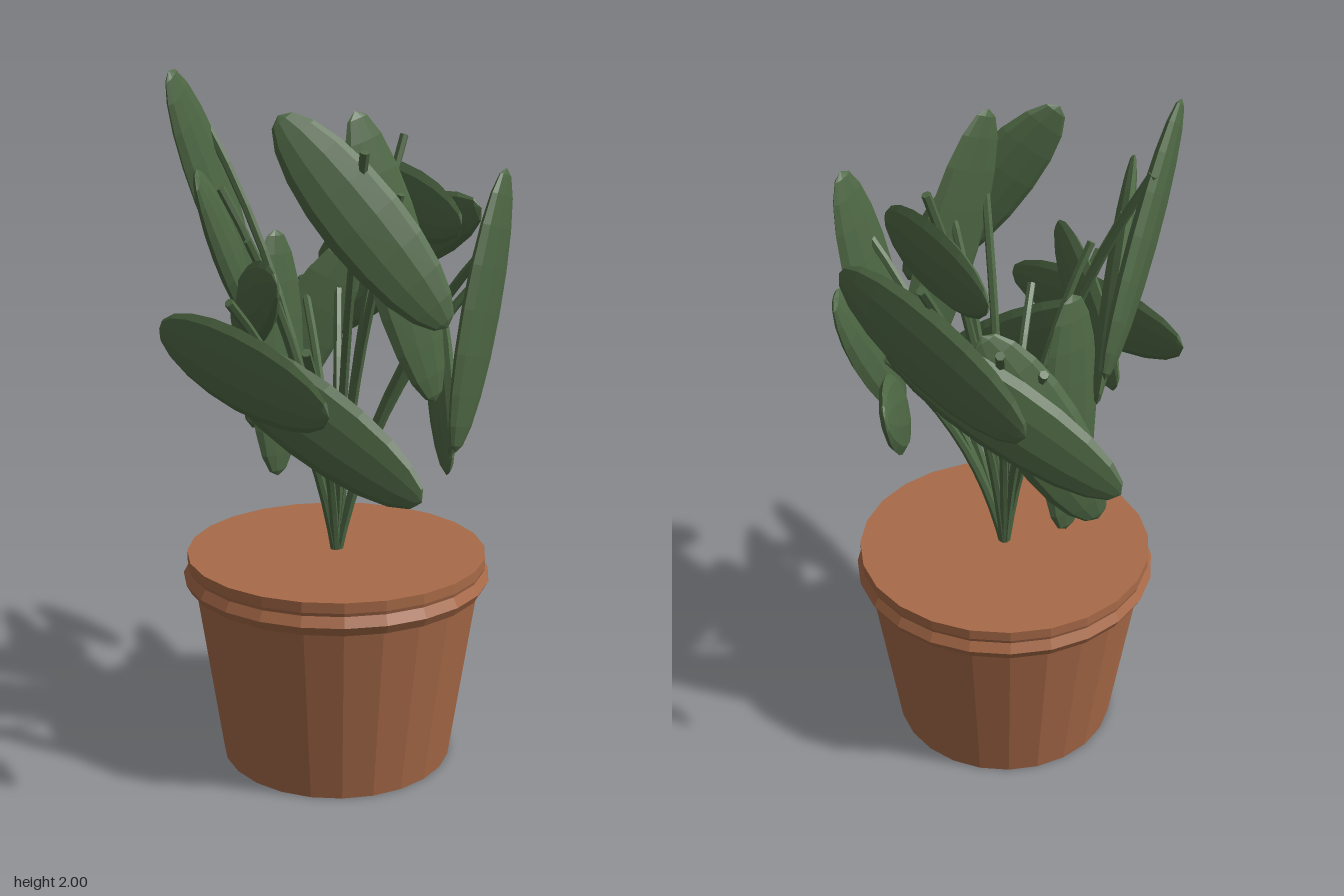
import * as THREE from 'three';

const BASE = new THREE.Vector3(-0.012, 0.6, 0.012);

// Upper end and lower end of each leaf blade, plus its half width.
const LEAVES = [
  [[0.43, 1.51, 0.03], [0.13, 1.12, -0.53], 0.11],
  [[0.41, 1.61, 0.2], [0.41, 1.39, -0.45], 0.115],
  [[0.38, 1.68, -0.30], [0.08, 1.6, 0.38], 0.105],
  [[0.53, 1.34, -0.08], [0.01, 0.94, 0.41], 0.115],
  [[0.41, 1.53, 0.23], [0.01, 0.98, 0.41], 0.11],
  [[0.17, 1.75, 0.455], [0.0, 1.0, 0.435], 0.11],
  [[-0.16, 1.9, 0.21], [0.07, 1.11, 0.31], 0.11],
  [[-0.33, 1.89, 0.1], [-0.05, 1.35, 0.44], 0.11],
  [[-0.42, 1.3, -0.1], [-0.26, 0.94, 0.53], 0.11],
  [[-0.36, 1.29, -0.35], [-0.53, 1.2, 0.46], 0.11],
  [[-0.43, 1.48, 0.19], [-0.09, 1.27, -0.33], 0.11],
  [[-0.49, 1.74, -0.04], [0.02, 1.27, -0.35], 0.11],
  [[-0.34, 2.0, -0.30], [0.03, 1.36, -0.38], 0.11],
  [[0.0, 1.55, -0.24], [0.0, 0.8, -0.24], 0.11],
  [[0.26, 1.5, -0.16], [0.03, 0.92, -0.38], 0.11],
];

// Flattened blade stretched between two ends, facing away from the stem base
function makeLeaf(top, bottom, halfWidth, material) {
  const geometry = new THREE.SphereGeometry(1, 10, 10);
  const mid = top.clone().add(bottom).multiplyScalar(0.5);
  const along = top.clone().sub(bottom);
  const half = along.length() / 2;
  along.normalize();
  const out = new THREE.Vector3(mid.x - BASE.x, 0, mid.z - BASE.z);
  out.addScaledVector(along, -out.dot(along)).normalize();
  const across = new THREE.Vector3().crossVectors(along, out);
  geometry.scale(halfWidth, half, 0.03);
  geometry.applyMatrix4(new THREE.Matrix4().makeBasis(across, along, out).setPosition(mid));
  const leaf = new THREE.Mesh(geometry, material);
  leaf.name = 'leaf';
  return leaf;
}

// Arching stalk that pokes out just past the middle of its blade
function makeStem(mid, material) {
  const tip = mid.clone();
  tip.y += 0.18;
  tip.x += (mid.x - BASE.x) * 0.06;
  tip.z += (mid.z - BASE.z) * 0.04;
  const bend = BASE.clone().lerp(tip, 0.25);
  bend.y = BASE.y + (tip.y - BASE.y) * 0.6;
  const curve = new THREE.QuadraticBezierCurve3(BASE, bend, tip);
  const group = new THREE.Group();
  group.name = 'stem';
  const tube = new THREE.Mesh(new THREE.TubeGeometry(curve, 10, 0.013, 6), material);
  tube.name = 'stalk';
  const cap = new THREE.Mesh(new THREE.CircleGeometry(0.013, 6), material);
  cap.name = 'stalkTip';
  cap.position.copy(tip);
  cap.lookAt(tip.clone().add(curve.getTangent(1)));
  group.add(tube, cap);
  return group;
}

export function createModel() {
  const model = new THREE.Group();
  model.name = 'pottedPlant';
  const green = new THREE.MeshStandardMaterial({ color: 0x4f6945, flatShading: true });
  green.name = 'leaf green';
  const clay = new THREE.MeshStandardMaterial({ color: 0xa86a48, flatShading: true });
  clay.name = 'terracotta';

  // Tapered pot with a flat filled top and a bulging band below the lip
  const profile = [
    [0, 0], [0.343, 0], [0.42, 0.53], [0.437, 0.535], [0.452, 0.562],
    [0.437, 0.59], [0.44, 0.6], [0.44, 0.63], [0, 0.63],
  ].map(([r, y]) => new THREE.Vector2(r, y));
  const pot = new THREE.Mesh(new THREE.LatheGeometry(profile, 24), clay);
  pot.name = 'pot';
  pot.position.set(BASE.x, 0, BASE.z);
  model.add(pot);

  // Ring of leaves, each on its own stem
  const foliage = new THREE.Group();
  foliage.name = 'foliage';
  for (const [a, b, width] of LEAVES) {
    const top = new THREE.Vector3(...a);
    const bottom = new THREE.Vector3(...b);
    foliage.add(makeLeaf(top, bottom, width, green));
    foliage.add(makeStem(top.clone().add(bottom).multiplyScalar(0.5), green));
  }
  model.add(foliage);
  return model;
}
